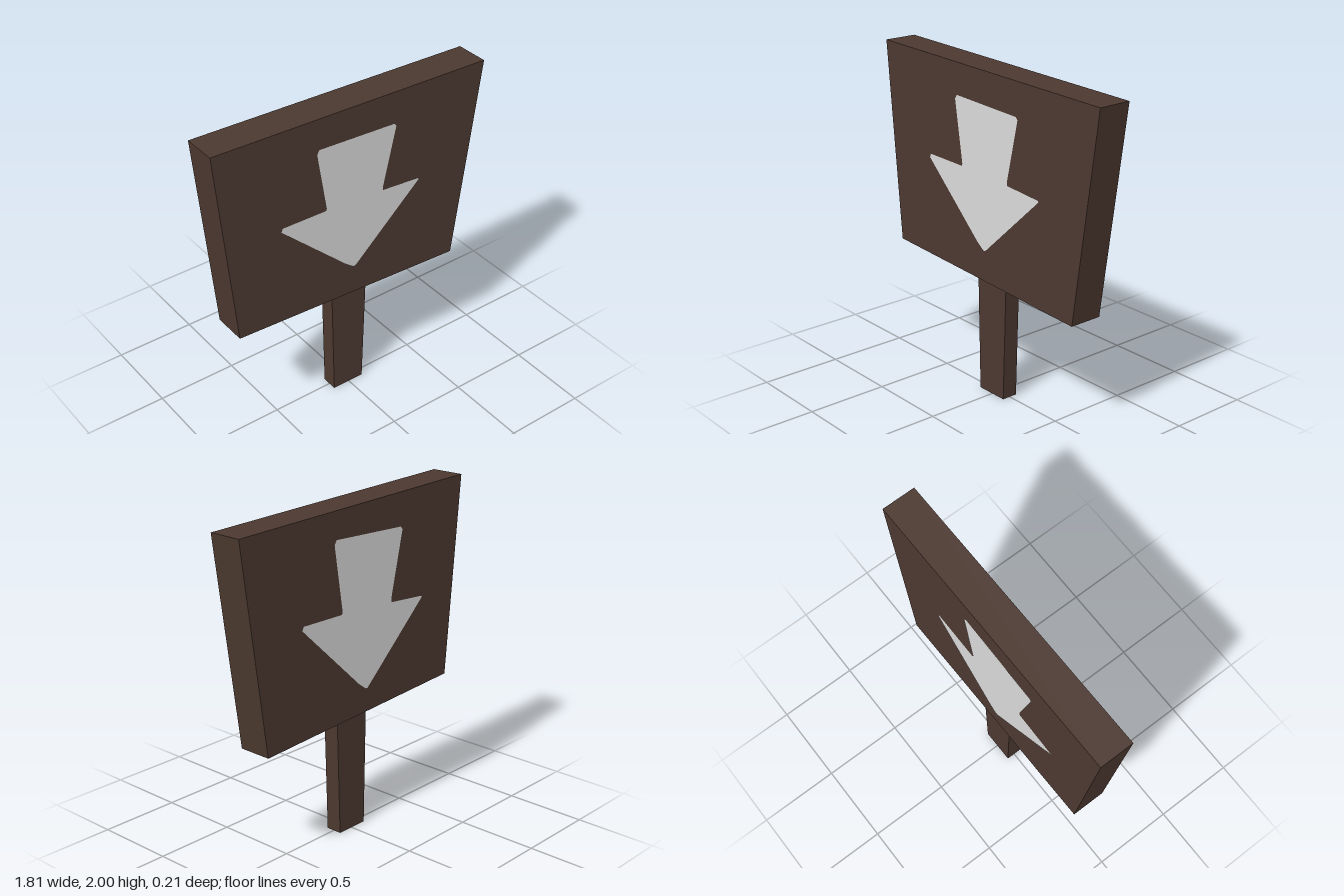
import * as THREE from 'three';

const wood = new THREE.MeshStandardMaterial({ color: 0x4c3930 });
wood.name = 'dark wood';
const paint = new THREE.MeshStandardMaterial({ color: 0xdadada });
paint.name = 'pale paint';

const toShape = (points) => new THREE.Shape(points.map(([x, y]) => new THREE.Vector2(x, y)));

// Flat slab with the given outline, centred on z = 0
function slab(name, points, depth) {
  const geometry = new THREE.ExtrudeGeometry(toShape(points), { depth, bevelEnabled: false });
  geometry.translate(0, 0, -depth / 2);
  const mesh = new THREE.Mesh(geometry, wood);
  mesh.name = name;
  return mesh;
}

// Downward arrow with slightly worn corners
const arrowOutline = [
  [-0.24, 1.795], [-0.255, 1.77], [-0.195, 1.4], [-0.2, 1.387],
  [-0.487, 1.392], [-0.497, 1.37], [-0.065, 0.965], [-0.012, 0.925],
  [0.005, 0.925], [0.455, 1.337], [0.447, 1.345], [0.195, 1.365],
  [0.195, 1.39], [0.28, 1.755], [0.267, 1.772],
];

function arrow(name, z) {
  const mesh = new THREE.Mesh(new THREE.ShapeGeometry(toShape(arrowOutline)), paint);
  mesh.name = name;
  mesh.position.z = z;
  return mesh;
}

export function createModel() {
  const group = new THREE.Group();
  group.name = 'signpost';

  // Crooked board on a post that widens slightly upwards
  group.add(slab('board', [[-0.793, 0.776], [0.73, 0.7], [0.905, 1.953], [-0.905, 2]], 0.206));
  group.add(slab('post', [[-0.11, 0], [0.1, 0], [0.125, 0.8], [-0.125, 0.8]], 0.1));

  // Painted arrows; the back one is turned round and a little larger
  group.add(arrow('frontArrow', 0.106));
  const back = arrow('backArrow', -0.106);
  const scale = 1.063;
  back.rotation.y = Math.PI;
  back.scale.set(scale, scale, 1);
  back.position.x = -0.07;
  back.position.y = 0.885 - 0.925 * scale;
  group.add(back);

  return group;
}
